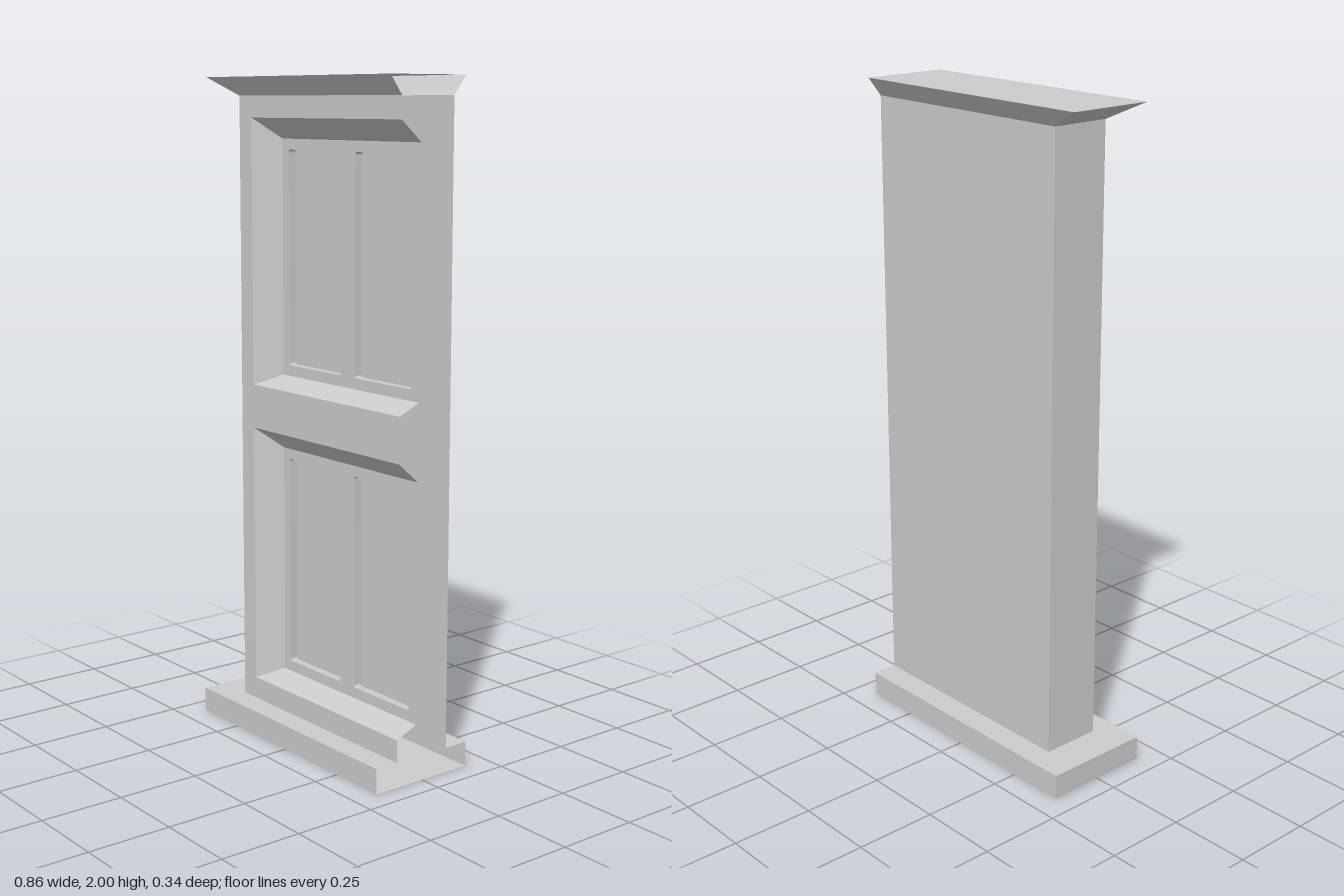
import * as THREE from 'three';

const material = new THREE.MeshStandardMaterial({ color: 0xcccccc, flatShading: true, side: THREE.DoubleSide });

const OPEN = 0.43;                 // the shell is open at this end
const LEFT = -0.315, FRONT = 0.095, BACK = -0.092;
const BASE_TOP = 0.075, BODY_TOP = 1.945;
const PANEL_Z = 0.025, PANE_Z = 0;

function add(group, name, geometry) {
  const mesh = new THREE.Mesh(geometry, material);
  mesh.name = name;
  group.add(mesh);
  return mesh;
}

// Flat quads between successive cross-sections (lists of [x, y, z])
function loft(sections) {
  const pos = [];
  for (let s = 0; s + 1 < sections.length; s++) {
    const a = sections[s], b = sections[s + 1];
    for (let i = 0; i + 1 < a.length; i++) {
      pos.push(...a[i], ...a[i + 1], ...b[i + 1], ...a[i], ...b[i + 1], ...b[i]);
    }
  }
  const geometry = new THREE.BufferGeometry();
  geometry.setAttribute('position', new THREE.Float32BufferAttribute(pos, 3));
  geometry.computeVertexNormals();
  return geometry;
}

// Three-sided horizontal section, open at +x
const ring = (x, y, zb, zf) => [[OPEN, y, zb], [x, y, zb], [x, y, zf], [OPEN, y, zf]];
// Three-sided upright section, open at +x
const bracket = (x, y0, y1, z) => [[OPEN, y0, z], [x, y0, z], [x, y1, z], [OPEN, y1, z]];
const edge = (y, z) => [[-0.43, y, z], [OPEN, y, z]];

function flat(points, z, holes = []) {
  const shape = new THREE.Shape(points.map(p => new THREE.Vector2(...p)));
  shape.holes = holes.map(h => new THREE.Path(h));
  return new THREE.ShapeGeometry(shape).translate(0, 0, z);
}

// Counter-clockwise rectangle with slightly rounded corners
function roundedRect(x0, x1, y0, y1, r = 0.008) {
  const s = new THREE.Shape();
  s.absarc(x1 - r, y0 + r, r, -Math.PI / 2, 0);
  s.absarc(x1 - r, y1 - r, r, 0, Math.PI / 2);
  s.absarc(x0 + r, y1 - r, r, Math.PI / 2, Math.PI);
  s.absarc(x0 + r, y0 + r, r, Math.PI, Math.PI * 1.5);
  return s.getPoints(3);
}

// Splayed recess holding a panel with two sunken panes
function createBay(name, y) {
  const bay = new THREE.Group();
  bay.name = name;
  const inX = -0.195, in0 = y + 0.031, in1 = y + 0.741;

  add(bay, 'splayedReveal', loft([bracket(inX, in0, in1, PANEL_Z), bracket(-0.255, y, y + 0.802, FRONT)]));

  const panes = [[-0.165, 0.085], [0.148, 0.398]].map(([x0, x1]) => roundedRect(x0, x1, y + 0.064, y + 0.709));
  add(bay, 'panel', flat([[inX, in0], [OPEN, in0], [OPEN, in1], [inX, in1]], PANEL_Z, panes));

  for (const outline of panes) {
    const loop = [...outline, outline[0]];
    add(bay, 'paneEdge', loft([PANEL_Z, PANE_Z].map(z => loop.map(p => [p.x, p.y, z]))));
    add(bay, 'pane', new THREE.ShapeGeometry(new THREE.Shape(outline)).translate(0, 0, PANE_Z));
  }
  return bay;
}

export function createModel() {
  const model = new THREE.Group();
  model.name = 'panelledWallSection';

  // Plinth
  add(model, 'plinth', loft([
    ring(-0.43, 0, -0.17, 0.17),
    ring(-0.43, BASE_TOP, -0.17, 0.17),
    ring(LEFT, BASE_TOP, BACK, FRONT),
  ]));
  add(model, 'plinthUnderside', loft([edge(0, -0.17), edge(0, 0.17)]));

  // Back and side walls
  add(model, 'backAndSideWalls', loft([BASE_TOP, BODY_TOP].map(y => ring(LEFT, y, BACK, FRONT).slice(0, 3))));

  // Front wall, notched around both bays
  const bays = [['lowerBay', 0.143], ['upperBay', 1.079]];
  const outline = [[LEFT, BASE_TOP], [OPEN, BASE_TOP]];
  for (const [, y] of bays) {
    outline.push([OPEN, y], [-0.255, y], [-0.255, y + 0.802], [OPEN, y + 0.802]);
  }
  outline.push([OPEN, BODY_TOP], [LEFT, BODY_TOP]);
  add(model, 'frontWall', flat(outline, FRONT));
  for (const [name, y] of bays) model.add(createBay(name, y));

  // Flared cornice
  add(model, 'cornice', loft([ring(LEFT, BODY_TOP, BACK, FRONT), ring(-0.43, 2, -0.135, 0.135)]));
  add(model, 'corniceTop', loft([edge(2, 0.135), edge(2, -0.135)]));

  return model;
}
